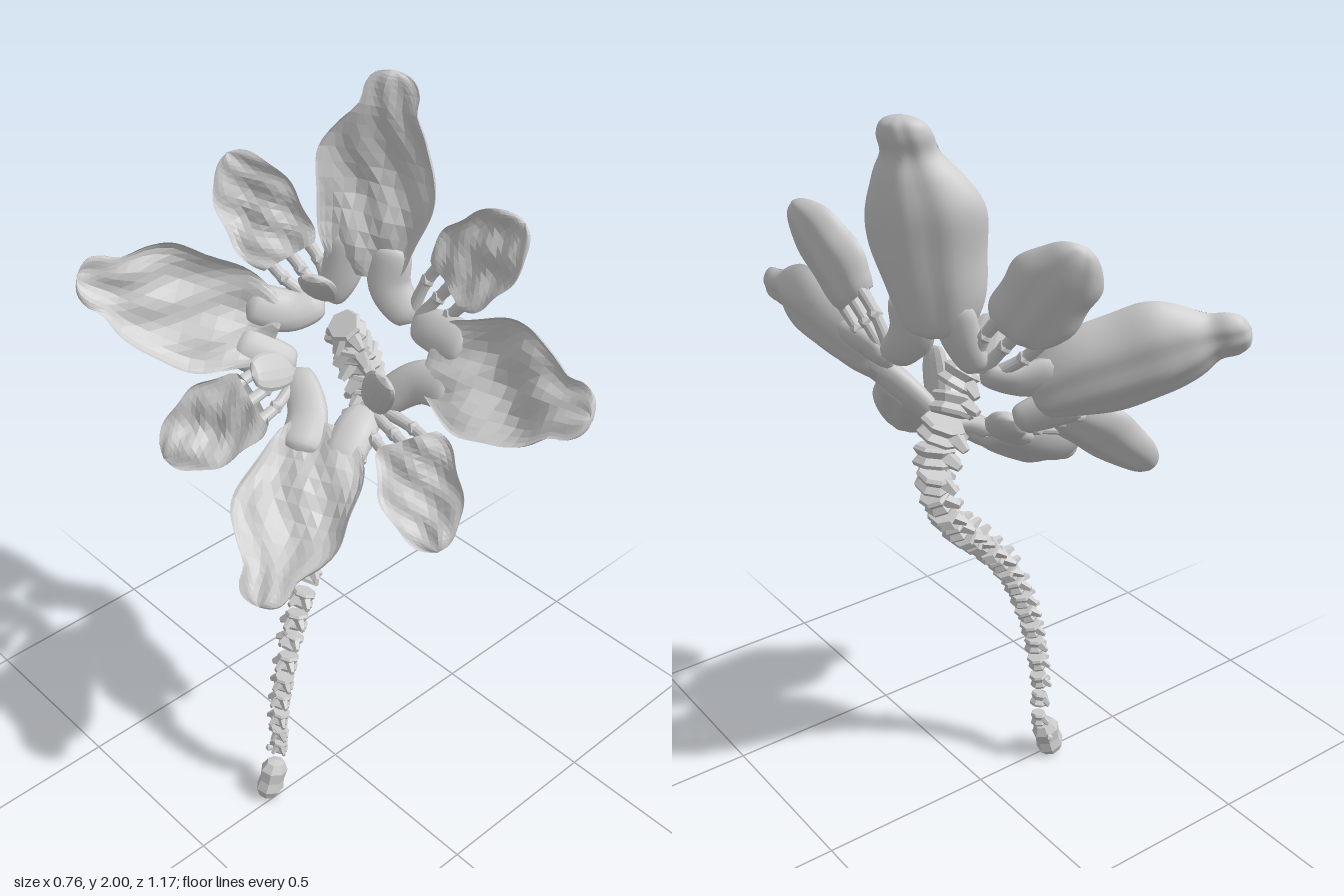
import * as THREE from 'three';
import { ParametricGeometry } from 'three/addons/geometries/ParametricGeometry.js';
import { mergeVertices } from 'three/addons/utils/BufferGeometryUtils.js';

const V = (x, y, z) => new THREE.Vector3(x, y, z);
const smooth = new THREE.MeshStandardMaterial({ color: 0xcccccc, side: THREE.DoubleSide });
const faceted = new THREE.MeshStandardMaterial({ color: 0xcccccc, side: THREE.DoubleSide, flatShading: true });
const FACING = V(-0.74, 0.53, 0.416).normalize(); // direction the blossom looks

function add(parent, geometry, material, name) {
  const mesh = new THREE.Mesh(geometry, material);
  mesh.name = name;
  parent.add(mesh);
  return mesh;
}

// Surface from a function of (angle 0..1, length 0..1)
function loft(fn, around, along) {
  const g = new ParametricGeometry(fn, around, along);
  g.deleteAttribute('normal');
  g.deleteAttribute('uv');
  const merged = mergeVertices(g, 1e-5);
  merged.computeVertexNormals();
  return merged;
}

// Axes for a part running from base to tip: side, inner (towards the blossom's front)
function axes(base, tip) {
  const axis = tip.clone().sub(base);
  const dir = axis.clone().normalize();
  const inner = FACING.clone().addScaledVector(dir, -FACING.dot(dir)).normalize();
  return { axis, inner, side: inner.clone().cross(dir) };
}

// Hollow scoop-like petal: smooth round back, craggy hollow front, blunt knob at the tip
function addPetal(parent, name, base, tip, profile, depth, seed, lift) {
  const { axis, inner, side } = axes(base, tip);
  const curve = new THREE.SplineCurve(profile.map(([t, w]) => new THREE.Vector2(t, w)));
  const surface = (first) => (u, v, target) => {
    const p = curve.getPoint(v);
    const t = p.x, w = Math.max(p.y, 0.0005);
    const a = (first + u / 2) * Math.PI * 2, c = Math.cos(a), s = Math.sin(a);
    const body = w / 0.15;
    const crag = Math.sin(c * 3.1 + t * 8 + seed) + Math.sin(t * 15 - c * 2.5 + seed * 2.3) * Math.sin(c * 5 + seed);
    const d = s <= 0
      ? s * depth * body * (1 + 0.04 * Math.cos(c * 9))
      : s * body * (0.012 - depth * 0.65 * Math.sin(Math.PI * Math.min(1, t * 1.02)) + 0.013 * crag);
    const edge = 1 + 0.05 * Math.sin(t * 13 + seed + (c > 0 ? 0 : 2));
    target.copy(base).addScaledVector(axis, t)
      .addScaledVector(side, c * w * edge)
      .addScaledVector(inner, d + lift * Math.sin(Math.PI * t));
  };
  add(parent, loft(surface(0.5), 24, 44), smooth, name + 'Back');
  add(parent, loft(surface(0), 14, 22), faceted, name + 'Hollow');
}

// Flattened tapering bone along a curve through the given points
function boneGeometry(points, r0, rMid, r1, flat = 0.55) {
  const curve = new THREE.CatmullRomCurve3(points);
  return loft((u, v, target) => {
    const q = curve.getPoint(v), dir = curve.getTangent(v);
    const inner = FACING.clone().addScaledVector(dir, -FACING.dot(dir)).normalize();
    const side = inner.clone().cross(dir);
    const end = Math.sqrt(Math.max(0.0004, 1 - Math.pow(Math.abs(2 * v - 1), 8)));
    const r = (r0 * (1 - v) ** 2 + 2 * rMid * v * (1 - v) + r1 * v * v) * end;
    target.copy(q).addScaledVector(side, Math.cos(u * 2 * Math.PI) * r)
      .addScaledVector(inner, Math.sin(u * 2 * Math.PI) * r * flat);
  }, 12, 16);
}

// Outlines as [length, half width]
const LARGE = [[0, 0.06], [0.04, 0.09], [0.15, 0.117], [0.3, 0.14], [0.45, 0.148], [0.6, 0.142],
  [0.73, 0.112], [0.83, 0.074], [0.91, 0.068], [0.965, 0.053], [0.99, 0.03], [1, 0]];
const SMALL = [[0, 0.075], [0.08, 0.09], [0.25, 0.101], [0.45, 0.103], [0.68, 0.09], [0.86, 0.064], [0.96, 0.034], [1, 0]];

// Joints of the central ring, between neighbouring large petals
const JOINTS = {
  upperLeft: V(0.265, 1.39, 0.0), upperRight: V(0.16, 1.405, -0.215),
  lowerLeft: V(0.125, 1.19, -0.01), lowerRight: V(0.055, 1.25, -0.21),
};

function buildBlossom() {
  const blossom = new THREE.Group();
  blossom.name = 'blossom';

  // Four large petals, each splitting into two arms that reach the ring joints
  const large = [
    ['topPetal', V(0.195, 1.41, -0.125), V(0.295, 2.0, -0.12), 'upperLeft', 'upperRight'],
    ['leftPetal', V(0.215, 1.345, 0.02), V(0.25, 1.405, 0.58), 'upperLeft', 'lowerLeft'],
    ['rightPetal', V(0.09, 1.31, -0.2), V(-0.335, 1.515, -0.575), 'upperRight', 'lowerRight'],
    ['bottomPetal', V(0.08, 1.22, -0.07), V(-0.37, 0.91, 0.13), 'lowerLeft', 'lowerRight'],
  ];
  large.forEach(([name, base, tip, j1, j2], i) => {
    const petal = new THREE.Group();
    petal.name = name;
    blossom.add(petal);
    addPetal(petal, name, base.clone().lerp(tip, 0.14), tip, LARGE, 0.105, i * 1.7, 0.038);
    const { side } = axes(base, tip);
    for (const j of [j1, j2]) {
      const joint = JOINTS[j];
      const k = Math.sign(joint.clone().sub(base).dot(side)) * 0.055;
      const from = base.clone().lerp(tip, 0.32).addScaledVector(side, k).addScaledVector(FACING, -0.02);
      const mid = base.clone().lerp(tip, 0.13).addScaledVector(side, k * 1.2).addScaledVector(FACING, -0.015);
      add(petal, boneGeometry([from, mid, joint], 0.055, 0.062, 0.04), smooth, name + 'Arm');
    }
  });

  // Flared blades rising from the ring joints inside the blossom
  [['lowerLeft', V(0.08, 1.35, 0.09)], ['lowerRight', V(-0.1, 1.3, -0.2)], ['upperRight', V(0.08, 1.52, -0.17)]]
    .forEach(([j, end]) => add(blossom, boneGeometry([JOINTS[j], JOINTS[j].clone().lerp(end, 0.5), end],
      0.025, 0.07, 0.035, 0.35), faceted, 'innerBlade'));

  // Four small petals between the large ones, held by short jointed struts
  const small = [
    ['upperLeft', V(0.285, 1.525, 0.085), V(0.36, 1.73, 0.25)],
    ['upperRight', V(0.1, 1.52, -0.285), V(0.06, 1.755, -0.46)],
    ['lowerLeft', V(0.085, 1.21, 0.17), V(0.01, 1.005, 0.355)],
    ['lowerRight', V(-0.11, 1.235, -0.19), V(-0.295, 1.07, -0.33)],
  ];
  small.forEach(([joint, base, tip], i) => {
    const petal = new THREE.Group();
    petal.name = joint + 'SmallPetal';
    blossom.add(petal);
    addPetal(petal, 'smallPetal', base, tip, SMALL, 0.09, i + 4, 0.018);
    const { side } = axes(base, tip);
    for (const k of [-1, 0, 1]) {
      const end = base.clone().lerp(tip, 0.15).addScaledVector(side, k * 0.055).addScaledVector(FACING, -0.02);
      const from = JOINTS[joint].clone().addScaledVector(side, k * 0.02);
      const mid = from.clone().lerp(end, 0.55).addScaledVector(side, k * 0.012);
      add(petal, boneGeometry([from, mid, end], 0.02, 0.01, 0.02, 0.9), faceted, 'strut');
      add(petal, new THREE.IcosahedronGeometry(0.02, 0), faceted, 'strutKnuckle').position.copy(mid);
    }
  });
  return blossom;
}

// One vertebra of unit radius, its axis along y
function vertebra(i) {
  const g = new THREE.Group();
  g.name = 'vertebra';
  const outline = [[0, -0.45], [0.8, -0.45], [0.9, -0.28], [0.68, 0], [0.9, 0.3], [0.78, 0.45], [0, 0.45]];
  add(g, new THREE.LatheGeometry(outline.map(([x, y]) => new THREE.Vector2(x, y)), 7), faceted, 'vertebraBody');
  // Two side wings and one rear spine, all drooping a little
  for (const [x, z, len] of [[0.8, 0.35, 0.8], [-0.8, 0.35, 0.8], [0, 0.8, 1.0]]) {
    const spur = add(g, new THREE.CylinderGeometry(0.18, 0.42, len, 5), faceted, 'vertebraSpur');
    spur.position.set(x, -0.1 + 0.08 * Math.sin(i * 2.3), z);
    spur.quaternion.setFromUnitVectors(V(0, 1, 0), V(x, -0.4, z).normalize());
  }
  return g;
}

function buildStem() {
  const stem = new THREE.Group();
  stem.name = 'stem';
  const path = new THREE.CatmullRomCurve3([
    V(-0.185, 0.16, -0.03), V(-0.19, 0.3, -0.02), V(-0.165, 0.45, -0.02), V(-0.115, 0.6, -0.03),
    V(-0.03, 0.75, -0.05), V(0.06, 0.85, -0.075), V(0.14, 0.93, -0.1), V(0.2, 1.01, -0.12),
    V(0.235, 1.1, -0.135), V(0.235, 1.2, -0.14), V(0.185, 1.3, -0.135), V(0.155, 1.36, -0.125),
  ]);
  const count = 22;
  for (let i = 0; i < count; i++) {
    const t = i / (count - 1);
    const p = path.getPointAt(t), dir = path.getTangentAt(t);
    const v = vertebra(i);
    // Spines point to the outer side of the bend
    const side = V(0, 0, 1).addScaledVector(dir, -dir.z).normalize();
    const back = side.clone().cross(dir).normalize();
    v.quaternion.setFromRotationMatrix(new THREE.Matrix4().makeBasis(side, dir, back));
    v.rotateZ(0.25 * Math.sin(i * 3.1));
    v.rotateX(0.2 * Math.sin(i * 1.9));
    v.position.copy(p);
    // The stem swells into a broad crown under the blossom
    const r = 0.026 + 0.028 * Math.pow(t, 0.8) + 0.014 * Math.exp(-(((t - 0.9) / 0.07) ** 2));
    v.scale.set(r, 0.042 + 0.016 * t, r * 0.95);
    stem.add(v);
  }
  // Tail bone at the foot and a loose chip beside it
  const tail = add(stem, new THREE.LatheGeometry([[0, 0], [0.028, 0.004], [0.043, 0.03], [0.038, 0.06], [0.042, 0.095], [0.028, 0.12], [0, 0.125]]
    .map(([x, y]) => new THREE.Vector2(x, y)), 7), faceted, 'tailBone');
  tail.position.set(-0.25, 0.008, -0.017);
  tail.rotation.z = -0.3;
  tail.scale.z = 0.85;
  add(stem, new THREE.IcosahedronGeometry(0.011, 0), faceted, 'boneChip').position.set(-0.19, 0.115, -0.075);
  return stem;
}

export function createModel() {
  const model = new THREE.Group();
  model.name = 'boneFlower';
  model.add(buildBlossom(), buildStem());
  return model;
}
